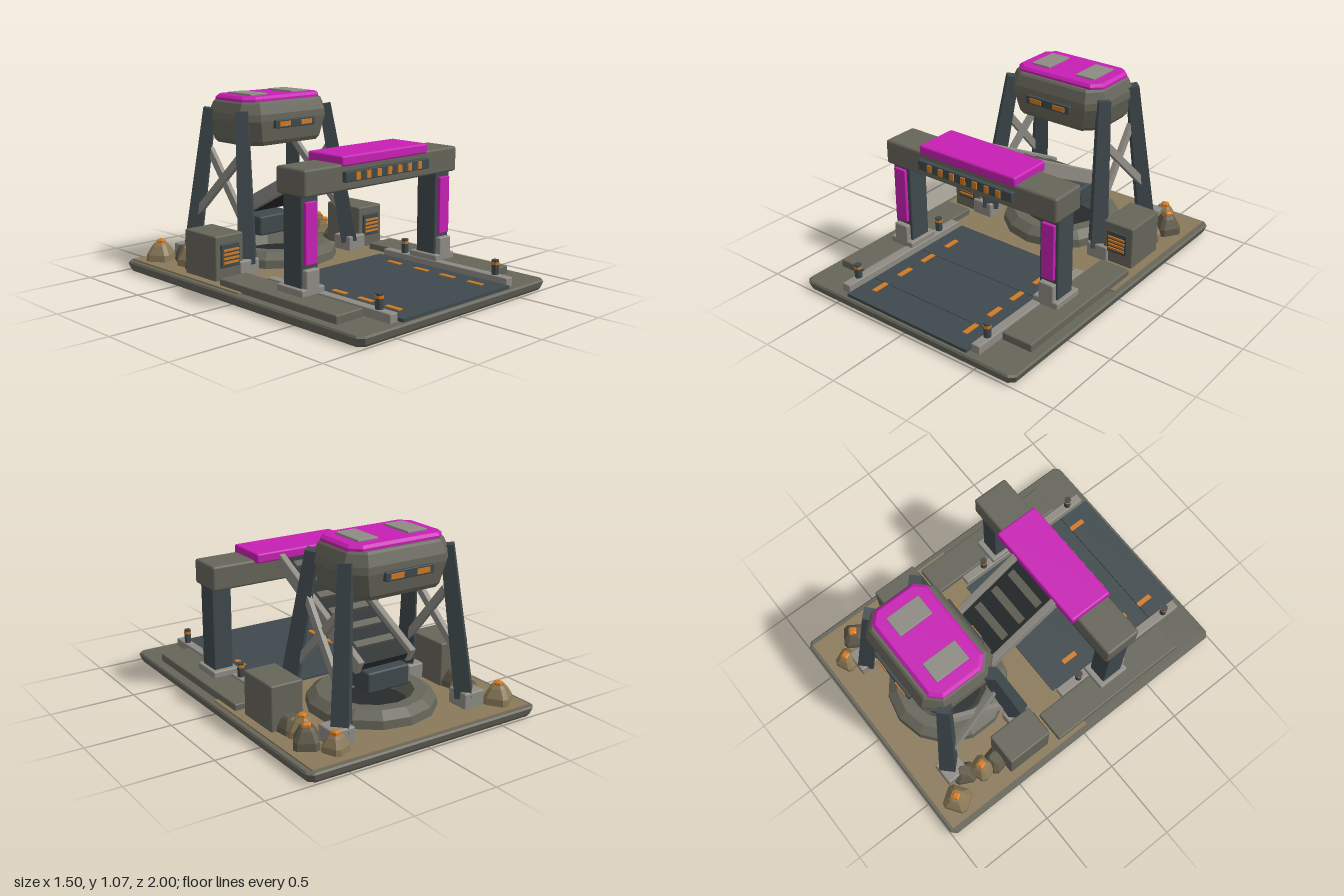
import * as THREE from 'three';
import { RoundedBoxGeometry } from 'three/addons/geometries/RoundedBoxGeometry.js';

const mat = (name, color) => {
  const m = new THREE.MeshStandardMaterial({ color });
  m.name = name;
  return m;
};

const flat = (geo) => {
  const g = geo.index ? geo.toNonIndexed() : geo;
  g.computeVertexNormals();
  return g;
};

// Solid lofted through chamfered rectangles: sections are [y, halfX, halfZ, chamfer]
function octLoft(sections) {
  const rings = sections.map(([y, hx, hz, c]) => [
    [-(hx - c), hz], [hx - c, hz], [hx, hz - c], [hx, -(hz - c)],
    [hx - c, -hz], [-(hx - c), -hz], [-hx, -(hz - c)], [-hx, hz - c],
  ].map(([x, z]) => [x, y, z]));
  const pos = [];
  const tri = (...p) => p.forEach((v) => pos.push(...v));
  for (let k = 0; k < rings.length - 1; k++) {
    for (let i = 0; i < 8; i++) {
      const j = (i + 1) % 8, a = rings[k], b = rings[k + 1];
      tri(a[i], a[j], b[j]);
      tri(a[i], b[j], b[i]);
    }
  }
  const lo = rings[0], hi = rings[rings.length - 1];
  for (let i = 1; i < 7; i++) {
    tri(hi[0], hi[i], hi[i + 1]);
    tri(lo[0], lo[i + 1], lo[i]);
  }
  const g = new THREE.BufferGeometry();
  g.setAttribute('position', new THREE.Float32BufferAttribute(pos, 3));
  return flat(g);
}

export function createModel() {
  const root = new THREE.Group();
  root.name = 'miningStation';
  const olive = mat('olive armour', 0x66655a);
  const steel = mat('dark steel', 0x3f494d);
  const grey = mat('light grey metal', 0x8e8b84);
  const magenta = mat('magenta panel', 0xc720b4);
  const orange = mat('orange light', 0xd07a22);
  const sand = mat('sand', 0x8b7a5b);
  const black = mat('belt black', 0x262b2c);
  const rock = mat('rock', 0x8c7a58);
  const darkRock = mat('dark rock', 0x625b4b);

  const add = (name, geo, m, x = 0, y = 0, z = 0, parent = root) => {
    const mesh = new THREE.Mesh(geo, m);
    mesh.name = name;
    mesh.position.set(x, y, z);
    parent.add(mesh);
    return mesh;
  };
  // Box given by its limits; r > 0 bevels the edges
  const box = (name, m, x0, x1, y0, y1, z0, z1, r = 0, parent = root) => {
    const s = [x1 - x0, y1 - y0, z1 - z0];
    const g = r ? new RoundedBoxGeometry(...s, 2, r) : new THREE.BoxGeometry(...s);
    return add(name, g, m, (x0 + x1) / 2, (y0 + y1) / 2, (z0 + z1) / 2, parent);
  };
  // The same box on both sides
  const pair = (name, m, x0, x1, ...rest) => {
    box(name + 'Left', m, x0, x1, ...rest);
    box(name + 'Right', m, -x1, -x0, ...rest);
  };

  // Ground platform
  add('basePlate', octLoft([[0, 0.73, 0.98, 0.03], [0.015, 0.738, 0.99, 0.03],
    [0.05, 0.75, 1, 0.03], [0.06, 0.742, 0.992, 0.03]]), olive);
  box('sandBed', sand, -0.715, 0.715, 0.055, 0.068, -0.975, 0.035);
  const seams = [0, 0.37, 0.77, 0.98];
  for (let i = 0; i < 3; i++) {
    box('deckPanel', steel, -0.43, 0.43, 0.055, 0.078, seams[i] + 0.002, seams[i + 1] - 0.002);
  }
  for (const z of [0.215, 0.425, 0.62, 0.82]) {
    pair('deckMarking', orange, 0.315, 0.345, 0.077, 0.083, z - 0.05, z + 0.05);
  }
  pair('sideSlab', olive, 0.5, 0.69, 0.055, 0.105, -0.16, 0.77, 0.008);
  pair('guideRail', grey, 0.44, 0.495, 0.055, 0.11, 0.02, 0.95, 0.006);

  // Bollards with a glowing band
  for (const x of [-0.468, 0.468]) {
    for (const z of [0.17, 0.85]) {
      add('bollard', flat(new THREE.CylinderGeometry(0.021, 0.021, 0.09, 8)), steel, x, 0.149, z);
      add('bollardBand', flat(new THREE.CylinderGeometry(0.023, 0.023, 0.016, 8)), orange, x, 0.175, z);
    }
  }

  // Gate
  pair('gateFoot', grey, 0.445, 0.61, 0.1, 0.143, 0.23, 0.434, 0.008);
  pair('gateColumn', steel, 0.466, 0.588, 0.13, 0.66, 0.263, 0.402, 0.008);
  pair('gateColumnBlock', grey, 0.482, 0.578, 0.13, 0.242, 0.39, 0.434, 0.008);
  pair('gateColumnPanel', magenta, 0.488, 0.57, 0.265, 0.6, 0.39, 0.422, 0.004);
  box('gateBeam', olive, -0.6, 0.6, 0.63, 0.776, 0.22, 0.445, 0.015);
  box('gateCanopy', magenta, -0.336, 0.336, 0.762, 0.82, 0.18, 0.452, 0.012);
  box('gateLightBar', steel, -0.33, 0.33, 0.68, 0.738, 0.44, 0.472, 0.005);
  for (let i = -3; i <= 3; i++) {
    box('gateLight', orange, i * 0.081 - 0.015, i * 0.081 + 0.015, 0.688, 0.73, 0.47, 0.479);
  }

  // Sloping conveyor
  const conveyor = new THREE.Group();
  conveyor.name = 'conveyor';
  conveyor.position.set(0, 0.557, -0.2);
  conveyor.rotation.x = -0.475;
  root.add(conveyor);
  for (const s of [-1, 1]) {
    box('conveyorRail', grey, s * 0.172 - 0.02, s * 0.172 + 0.02, -0.043, 0.043, -0.45, 0.45, 0.006, conveyor);
  }
  box('conveyorBelt', black, -0.152, 0.152, -0.03, 0.012, -0.44, 0.44, 0, conveyor);
  for (let z = -0.31; z < 0.42; z += 0.135) {
    box('conveyorSlat', olive, -0.126, 0.126, 0.01, 0.03, z - 0.022, z + 0.022, 0, conveyor);
  }
  box('conveyorHopper', steel, -0.137, 0.137, 0.2, 0.32, -0.63, -0.46, 0.012);

  // Drill pit
  const pit = [[0.37, 0.06], [0.362, 0.115], [0.31, 0.155], [0.24, 0.155], [0.2, 0.07]]
    .map(([x, y]) => new THREE.Vector2(x, y));
  add('pitRing', flat(new THREE.LatheGeometry(pit, 14)), olive, 0, 0, -0.47);
  add('pitFloor', flat(new THREE.CylinderGeometry(0.22, 0.22, 0.02, 14)), black, 0, 0.07, -0.47);

  // Tower cabin
  const cz = -0.54;
  add('cabin', octLoft([[0.775, 0.29, 0.2, 0.08], [0.8, 0.31, 0.215, 0.085], [0.92, 0.342, 0.235, 0.09],
    [0.96, 0.338, 0.232, 0.09], [1.02, 0.312, 0.208, 0.075], [1.032, 0.3, 0.195, 0.07]]), olive, 0, 0, cz);
  add('cabinRoof', octLoft([[1.025, 0.302, 0.18, 0.055], [1.045, 0.302, 0.18, 0.055],
    [1.06, 0.285, 0.165, 0.05]]), magenta, 0, 0, cz);
  pair('roofHatch', grey, 0.095, 0.222, 1.05, 1.071, -0.643, -0.433, 0.004);
  for (const s of [-1, 1]) {
    const bar = new THREE.Group();
    bar.name = s > 0 ? 'cabinLightsFront' : 'cabinLightsBack';
    bar.position.set(0, 0.9, cz + s * 0.235);
    bar.rotation.y = s > 0 ? 0 : Math.PI;
    root.add(bar);
    box('lightHousing', steel, -0.155, 0.155, -0.025, 0.025, -0.015, 0.018, 0.005, bar);
    for (const t of [-1, 1]) {
      box('cabinLight', orange, t * 0.083 - 0.041, t * 0.083 + 0.041, -0.014, 0.014, 0.015, 0.024, 0, bar);
    }
  }

  // Tower legs, feet and cross braces
  const up = new THREE.Vector3(0, 1, 0);
  const strut = (name, geoFor, m, a, b) => {
    const d = b.clone().sub(a);
    const mid = a.clone().add(b).multiplyScalar(0.5);
    const mesh = add(name, geoFor(d.length()), m, mid.x, mid.y, mid.z);
    mesh.quaternion.setFromUnitVectors(up, d.normalize());
  };
  const leg = (len) => flat(new THREE.CylinderGeometry(0.05, 0.068, len, 4));
  const brace = (len) => new THREE.BoxGeometry(0.028, len, 0.045);
  const V = (x, y, z) => new THREE.Vector3(x, y, z);
  for (const s of [-1, 1]) {
    for (const [zb, zt] of [[-0.25, -0.385], [-0.775, -0.685]]) {
      strut('towerLeg', leg, steel, V(s * 0.412, 0.12, zb), V(s * 0.328, 0.98, zt));
      const fz = zb + (zb > -0.5 ? -0.02 : 0.005);
      box('towerFoot', grey, s * 0.435 - 0.07, s * 0.435 + 0.07, 0.06, 0.158, fz - 0.07, fz + 0.07, 0.01);
    }
    strut('crossBrace', brace, grey, V(s * 0.4, 0.35, -0.73), V(s * 0.352, 0.73, -0.36));
    strut('crossBrace', brace, grey, V(s * 0.38, 0.34, -0.31), V(s * 0.335, 0.73, -0.68));
  }

  // Power boxes with glowing vents
  pair('powerBox', olive, 0.467, 0.665, 0.06, 0.325, -0.505, -0.22, 0.01);
  pair('ventPanel', steel, 0.5, 0.632, 0.14, 0.275, -0.225, -0.208, 0.004);
  for (let i = 0; i < 4; i++) {
    const y = 0.162 + i * 0.024;
    pair('ventSlit', orange, 0.512, 0.62, y, y + 0.012, -0.21, -0.2);
  }

  // Ore rocks: [x, z, radius, height, turn, dark, has crystal]
  const rocks = [
    [-0.595, -0.85, 0.09, 0.11, 0.6, 0, 1], [-0.54, -0.625, 0.08, 0.11, 0.3, 0, 1],
    [-0.5, -0.725, 0.075, 0.1, 1.1, 1, 0], [-0.55, -0.535, 0.08, 0.1, 0.2, 1, 0],
    [0.5, -0.86, 0.075, 0.1, 0.4, 0, 1], [0.595, -0.735, 0.085, 0.12, 1.0, 1, 1],
    [0.54, -0.61, 0.085, 0.11, 0.7, 0, 1], [0.56, -0.53, 0.085, 0.09, 0.1, 1, 0],
  ];
  for (const [x, z, r, h, turn, dark, crystal] of rocks) {
    const g = new THREE.Group();
    g.name = 'oreRock';
    g.position.set(x, 0.062, z);
    g.rotation.y = turn;
    root.add(g);
    add('stone', octLoft([[0, r * 0.85, r * 0.82, r * 0.25], [h * 0.4, r * 0.8, r * 0.78, r * 0.25],
      [h * 0.85, r * 0.52, r * 0.5, r * 0.2], [h, r * 0.38, r * 0.35, r * 0.15]]), dark ? darkRock : rock, 0, 0, 0, g);
    if (crystal) {
      add('crystal', octLoft([[0, 0.024, 0.024, 0.006], [0.018, 0.022, 0.022, 0.006],
        [0.026, 0.012, 0.012, 0.004]]), orange, 0.005, h - 0.005, 0, g);
    }
  }
  return root;
}
